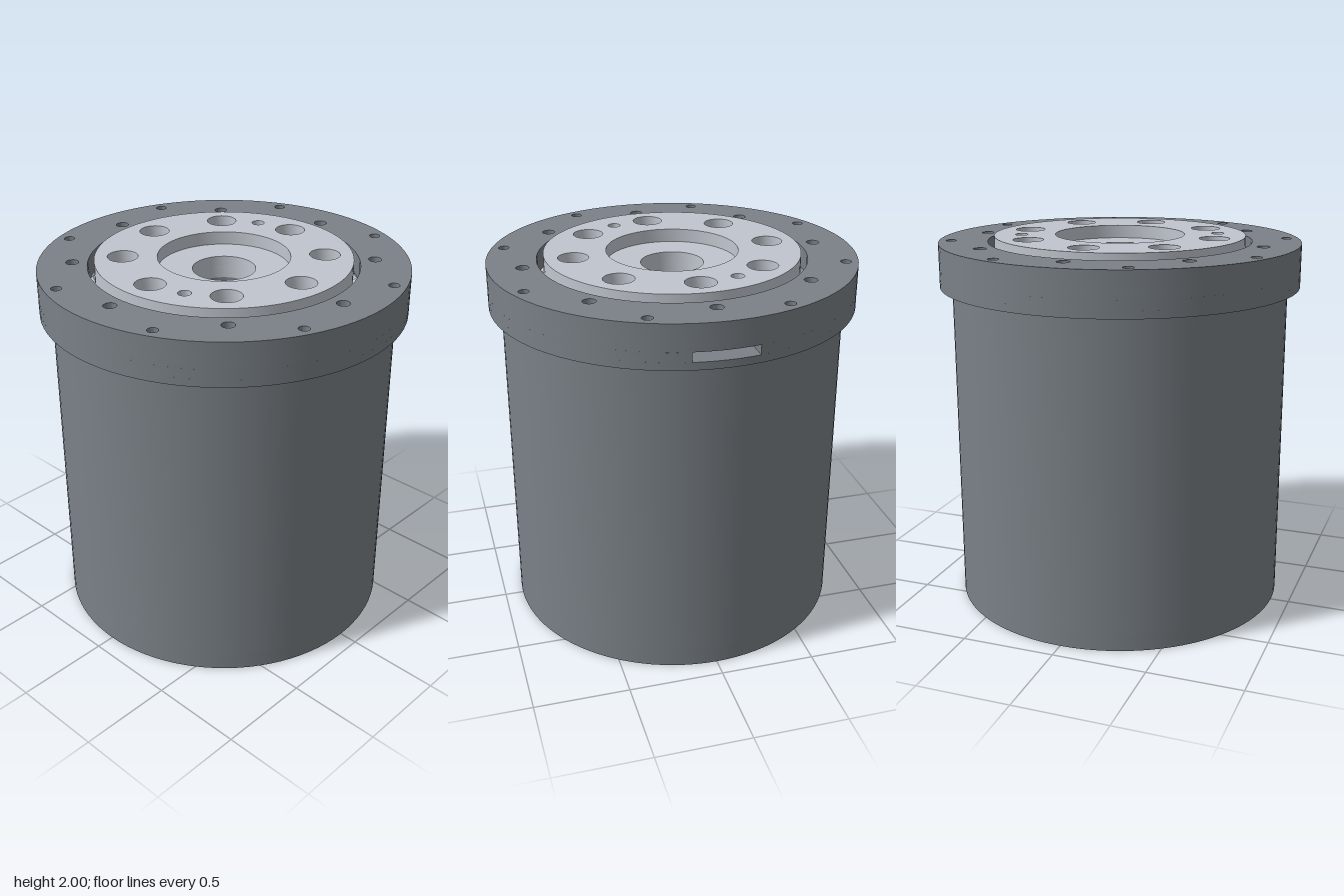
import * as THREE from 'three';
import { toCreasedNormals } from 'three/addons/utils/BufferGeometryUtils.js';

const TAU = Math.PI * 2;
const housingMat = new THREE.MeshStandardMaterial({ name: 'dark grey housing', color: 0x7a8187 });
const discMat = new THREE.MeshStandardMaterial({ name: 'light grey steel', color: 0xc1c6ce });

// Circular hole outline
function hole(x, y, r, n = 24) {
  const pts = [];
  for (let i = 0; i <= n; i++) {
    const a = -i / n * TAU;
    pts.push(new THREE.Vector2(x + r * Math.cos(a), y + r * Math.sin(a)));
  }
  return new THREE.Path(pts);
}

// Evenly spaced holes on a bolt circle
function boltCircle(count, radius, r, start = 0) {
  return Array.from({ length: count }, (_, i) => {
    const a = start + i / count * TAU;
    return hole(radius * Math.cos(a), radius * Math.sin(a), r);
  });
}

function disc(r) {
  return new THREE.Shape().absarc(0, 0, r, 0, TAU, false);
}

export function createModel() {
  const model = new THREE.Group();
  model.name = 'rotaryActuator';

  // One horizontal slice between two heights, pierced by holes
  function layer(name, shape, y0, y1, holes, mat, parent) {
    shape.holes.push(...holes);
    const geo = new THREE.ExtrudeGeometry(shape, { depth: y1 - y0, bevelEnabled: false, curveSegments: 48 });
    geo.rotateX(-Math.PI / 2);
    geo.translate(0, y0, 0);
    const mesh = new THREE.Mesh(toCreasedNormals(geo, 0.6), mat);
    mesh.name = name;
    parent.add(mesh);
  }
  function group(name) {
    const g = new THREE.Group();
    g.name = name;
    model.add(g);
    return g;
  }

  const bore = () => hole(0, 0, 0.165, 64);

  // Main barrel with recessed bore and blind screw holes underneath
  const barrel = group('barrel');
  layer('barrelBase', disc(0.9), 0, 0.09,
    [hole(0, 0, 0.196, 64), ...boltCircle(8, 0.815, 0.025), ...boltCircle(4, 0.407, 0.025, Math.PI / 4)],
    housingMat, barrel);
  layer('barrelBody', disc(0.9), 0.09, 1.74, [bore()], housingMat, barrel);
  layer('hubCore', disc(0.67), 1.74, 1.81, [bore()], housingMat, barrel);

  // Flange ring: through holes outside, blind holes inside, side slot on +x
  const flange = group('flange');
  const R = 0.965, r = 0.705, slot = 0.165;
  const mounts = () => boltCircle(8, 0.9, 0.028, Math.PI / 8);
  const inner = () => hole(0, 0, r, 96);
  layer('flangeLower', disc(R), 1.74, 1.78, [inner(), ...mounts()], housingMat, flange);
  const a = Math.asin(slot / R), b = Math.asin(slot / r);
  const open = new THREE.Shape();
  open.absarc(0, 0, R, a, TAU - a, false);
  open.absarc(0, 0, r, TAU - b, b, true);
  layer('flangeSlotted', open, 1.78, 1.83, mounts(), housingMat, flange);
  layer('flangeMiddle', disc(R), 1.83, 1.85, [inner(), ...mounts()], housingMat, flange);
  layer('flangeUpper', disc(R), 1.85, 1.97,
    [inner(), ...mounts(), ...boltCircle(8, 0.785, 0.034)], housingMat, flange);

  // Output disc with central recess, counterbored bolts and two dowel holes
  const output = group('outputDisc');
  const sinks = () => [...boltCircle(8, 0.523, 0.08),
    hole(0.485, 0.2, 0.034), hole(-0.485, -0.2, 0.034)];
  layer('discBase', disc(0.67), 1.81, 1.83, [bore()], discMat, output);
  layer('discLower', disc(0.67), 1.83, 1.88, [bore(), ...boltCircle(8, 0.523, 0.042)], discMat, output);
  layer('discMiddle', disc(0.67), 1.88, 1.93, [bore(), ...sinks()], discMat, output);
  layer('discTop', disc(0.67), 1.93, 2, [hole(0, 0, 0.345, 64), ...sinks()], discMat, output);

  // Crossed rollers in the gap, tilted alternately, left out at the slot
  const rollers = group('bearingRollers');
  const rollerGeo = toCreasedNormals(new THREE.CylinderGeometry(0.027, 0.027, 0.05, 12), 0.6);
  const count = 56;
  for (let i = 0; i < count; i++) {
    const t = (i + 0.5) / count * TAU;
    const x = 0.686 * Math.cos(t), z = 0.686 * Math.sin(t);
    if (x > 0 && Math.abs(z) < slot + 0.03) continue;
    const roller = new THREE.Mesh(rollerGeo, discMat);
    roller.name = 'roller';
    roller.position.set(x, 1.84, z);
    roller.rotation.set(0, -t, (i % 2 ? 1 : -1) * Math.PI / 4);
    rollers.add(roller);
  }
  return model;
}
